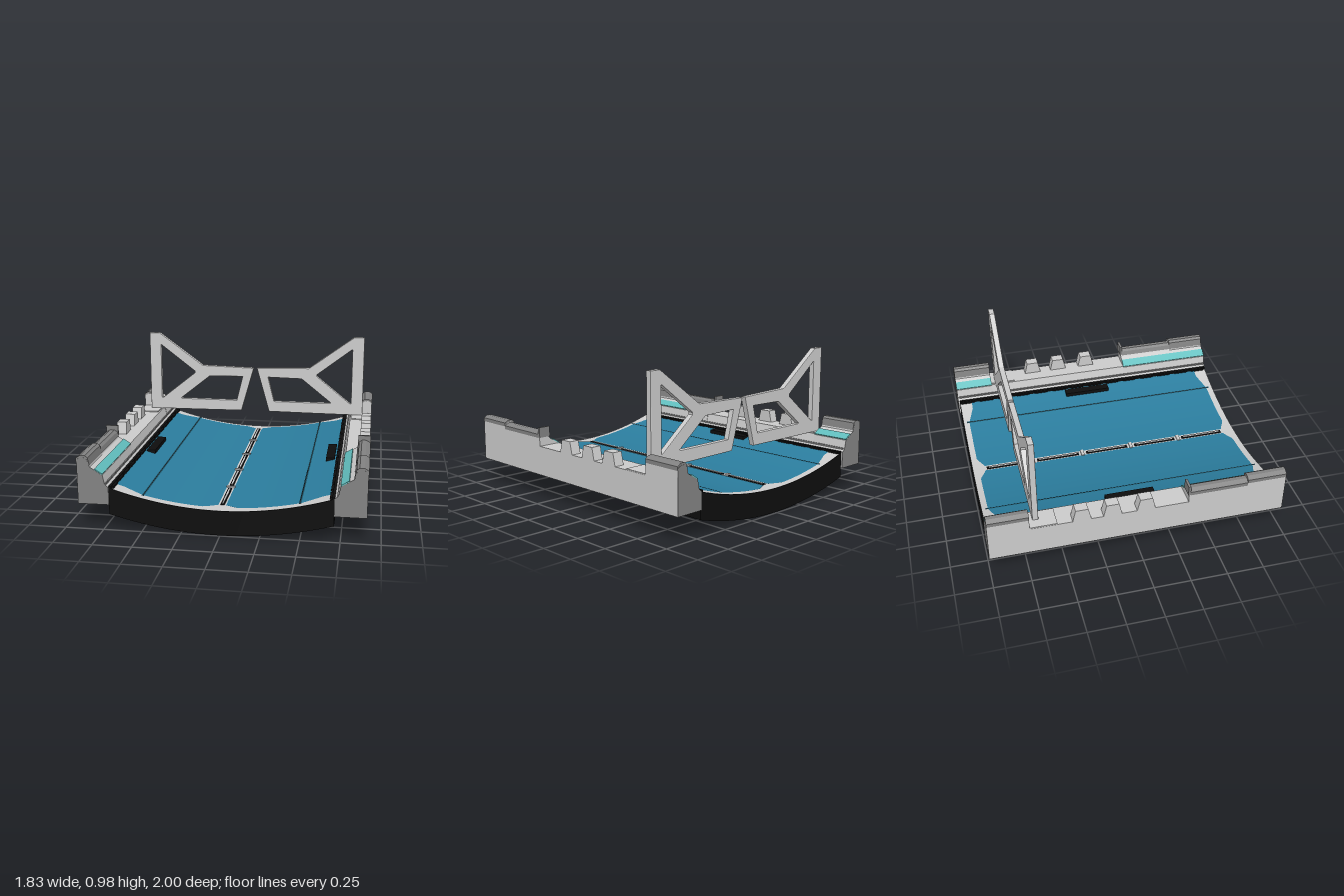
import * as THREE from 'three';

const mat = (name, color) => {
  const m = new THREE.MeshStandardMaterial({ color });
  m.name = name;
  return m;
};

export function createModel() {
  const model = new THREE.Group();
  model.name = 'cradleDeck';
  const light = mat('lightGrey', 0xcccccc);
  const grey = mat('midGrey', 0x828282);
  const black = mat('black', 0x0e0e0e);
  const blue = mat('blue', 0x2b7d9e);
  const seam = mat('darkBlue', 0x1c5468);
  const teal = mat('teal', 0x62bfbf);

  const add = (name, geo, material) => {
    const mesh = new THREE.Mesh(geo, material);
    mesh.name = name;
    model.add(mesh);
    return mesh;
  };
  const box = (name, m, x0, x1, y0, y1, z0, z1) => {
    const g = new THREE.BoxGeometry(Math.abs(x1 - x0), y1 - y0, z1 - z0);
    g.translate((x0 + x1) / 2, (y0 + y1) / 2, (z0 + z1) / 2);
    return add(name, g, m);
  };
  // closed outline in x-y, optionally mirrored by s
  const outline = (pts, s = 1) => pts.map(([x, y]) => new THREE.Vector2(s * x, y));
  // extrude an x-y outline from z0 to z1
  const prism = (name, pts, z0, z1, m, s = 1) => {
    const g = new THREE.ExtrudeGeometry(new THREE.Shape(outline(pts, s)), { depth: z1 - z0, bevelEnabled: false });
    g.translate(0, 0, z0);
    return add(name, g, m);
  };

  // curved deck body
  const topY = x => 0.165 + 0.23 * x * x;
  const bottomY = x => 0.003 + 0.205 * x * x;
  const N = 28, W = 0.71;
  const section = [];
  for (let i = 0; i <= N; i++) { const x = -W + 2 * W * i / N; section.push([x, bottomY(x)]); }
  for (let i = N; i >= 0; i--) { const x = -W + 2 * W * i / N; section.push([x, topY(x)]); }
  prism('deckBody', section, -0.99, 0.995, black);

  // skins that follow the curve of the deck
  const sheet = (name, m, x0, x1, zBack, zFront, yOf, up = true) => {
    const g = new THREE.PlaneGeometry(1, 1, 36, 1);
    g.rotateX(up ? -Math.PI / 2 : Math.PI / 2);
    const p = g.attributes.position;
    for (let i = 0; i < p.count; i++) {
      const x = x0 + (x1 - x0) * (p.getX(i) + 0.5);
      p.setXYZ(i, x, yOf(x), p.getZ(i) < 0 ? zBack(x) : zFront(x));
    }
    g.computeVertexNormals();
    return add(name, g, m);
  };
  const at = z => () => z;
  const lift = d => x => topY(x) + d;
  const drop = d => x => bottomY(x) - d;
  const panelEnd = x => {
    const a = Math.abs(x);
    const flare = Math.max((a - 0.5) / 0.13, (0.11 - a) / 0.08);
    return 0.947 - 0.045 * THREE.MathUtils.clamp(flare, 0, 1);
  };

  sheet('deckTrim', light, -0.685, 0.685, at(-0.99), at(0.995), lift(0.002));
  sheet('deckUnderside', blue, -0.7, 0.7, at(-0.94), at(0.95), drop(0.002), false);
  sheet('underTrimBack', grey, -0.64, 0.64, at(-0.985), at(-0.94), drop(0.002), false);
  sheet('underTrimFront', grey, -0.64, 0.64, at(0.95), at(0.99), drop(0.002), false);

  // centre joint with slots and cross clips
  for (let i = -2; i <= 2; i++) {
    const z = i * 0.367;
    box('centreSlot', black, -0.013, 0.013, 0.166, 0.172, z - 0.155, z + 0.155);
    box('slotBar', light, -0.005, 0.005, 0.17, 0.175, z - 0.14, z + 0.14);
    if (i < 2) box('centreClip', light, -0.03, 0.03, 0.167, 0.176, z + 0.172, z + 0.195);
  }

  // cross-sections of the side rails
  const fullProfile = h => [
    [0.71, 0.17], [0.91, 0.17], [0.91, h - 0.015], [0.885, h], [0.86, h], [0.84, h - 0.015],
    [0.825, 0.415], [0.8, 0.4], [0.745, 0.365], [0.732, 0.305], [0.71, 0.285],
  ];
  const lowProfile = [
    [0.71, 0.17], [0.91, 0.17], [0.91, 0.37], [0.75, 0.37], [0.732, 0.305], [0.71, 0.285],
  ];
  const capProfile = h => [
    [0.913, h - 0.03], [0.913, h - 0.005], [0.885, h + 0.012], [0.855, h + 0.012],
    [0.837, h - 0.002], [0.826, 0.425], [0.835, 0.425], [0.845, h - 0.02], [0.86, h - 0.005], [0.885, h - 0.005],
  ];
  const tealProfile = [[0.748, 0.366], [0.798, 0.398], [0.795, 0.405], [0.744, 0.373]];

  for (const s of [1, -1]) {
    const side = s > 0 ? 'left' : 'right';
    const sbox = (name, m, x0, x1, ...rest) => box(side + name, m, s * x0, s * x1, ...rest);
    const edge = (name, m, x0, x1, ...rest) =>
      sheet(side + name, m, Math.min(s * x0, s * x1), Math.max(s * x0, s * x1), ...rest);

    // blue floor panel with its long groove
    edge('FloorPanel', blue, 0.025, 0.683, x => -panelEnd(x), panelEnd, lift(0.005));
    edge('Groove', seam, 0.49, 0.505, at(-0.965), at(0.965), lift(0.008));
    edge('GrooveLine', black, 0.495, 0.499, at(-0.965), at(0.965), lift(0.01));
    sbox('Pad', black, 0.61, 0.67, 0.25, 0.282, -0.17, 0.17);

    // toothed black rim along the deck
    sbox('Rim', black, 0.695, 0.712, 0.2, 0.29, -0.99, 0.995);
    for (let i = 0; i < 14; i++) {
      const z = -0.93 + i * 0.143;
      sbox('RimTooth', black, 0.68, 0.7, 0.26, 0.287, z - 0.05, z + 0.05);
    }

    // side rail in three lengths
    prism(side + 'RailFront', fullProfile(0.475), 0.73, 1, light, s);
    prism(side + 'RailFrontLow', fullProfile(0.455), 0.325, 0.73, light, s);
    prism(side + 'RailMiddle', lowProfile, -0.73, 0.325, light, s);
    prism(side + 'RailBack', fullProfile(0.475), -1, -0.73, light, s);
    prism(side + 'EndPlateFront', fullProfile(0.475), 0.996, 1.0, grey, s).position.z = 0.001;
    prism(side + 'EndPlateBack', fullProfile(0.475), -1.0, -0.996, grey, s).position.z = -0.001;

    // rail caps and coloured strips
    prism(side + 'CapFront', capProfile(0.477), 0.73, 1, grey, s);
    prism(side + 'CapFrontLow', capProfile(0.457), 0.335, 0.73, grey, s);
    prism(side + 'CapBack', capProfile(0.477), -1, -0.73, grey, s);
    sbox('CapFlange', grey, 0.83, 0.914, 0.43, 0.5, 0.318, 0.335);
    prism(side + 'StripFront', tealProfile, 0.325, 1, teal, s);
    prism(side + 'StripBack', tealProfile, -1, -0.73, teal, s);
    sbox('Ledge', grey, 0.725, 0.736, 0.3, 0.311, -0.99, 0.995);

    // seat plate under the gate post, and recess below the rail
    sbox('GateSeat', light, 0.76, 0.908, 0.368, 0.377, -0.73, -0.55);
    sbox('RailRecess', black, 0.74, 0.83, 0.167, 0.172, -0.5, -0.38);

    // three trapezoid teeth on the low part of the rail
    for (const z of [0.037, -0.187, -0.39]) {
      const shape = new THREE.Shape(outline([
        [z - 0.064, 0.36], [z + 0.064, 0.36], [z + 0.042, 0.455], [z - 0.042, 0.455],
      ]));
      const g = new THREE.ExtrudeGeometry(shape, { depth: 0.07, bevelEnabled: false });
      g.rotateY(-Math.PI / 2);
      g.translate(s > 0 ? 0.91 : -0.84, 0, 0);
      add(side + 'RailTooth', g, light);
    }

    // open-framed gate
    const b = 0.005;
    const gate = new THREE.Shape(outline([
      [0.835, 0.38], [0.835, 0.98], [0.762, 0.98], [0.42, 0.73], [0.018, 0.72], [0.113, 0.385], [0.45, 0.382],
    ], s));
    gate.holes.push(
      new THREE.Path(outline([[0.755, 0.895], [0.755, 0.46], [0.74, 0.46], [0.478, 0.67], [0.478, 0.69], [0.745, 0.895]], s)),
      new THREE.Path(outline([[0.095, 0.66], [0.365, 0.655], [0.6, 0.467], [0.59, 0.457], [0.145, 0.457]], s)),
    );
    const g = new THREE.ExtrudeGeometry(gate, {
      depth: 0.03, bevelEnabled: true, bevelSize: b, bevelThickness: b, bevelSegments: 2,
    });
    g.translate(0, 0, -0.695);
    add(side + 'Gate', g, light);
  }
  return model;
}
